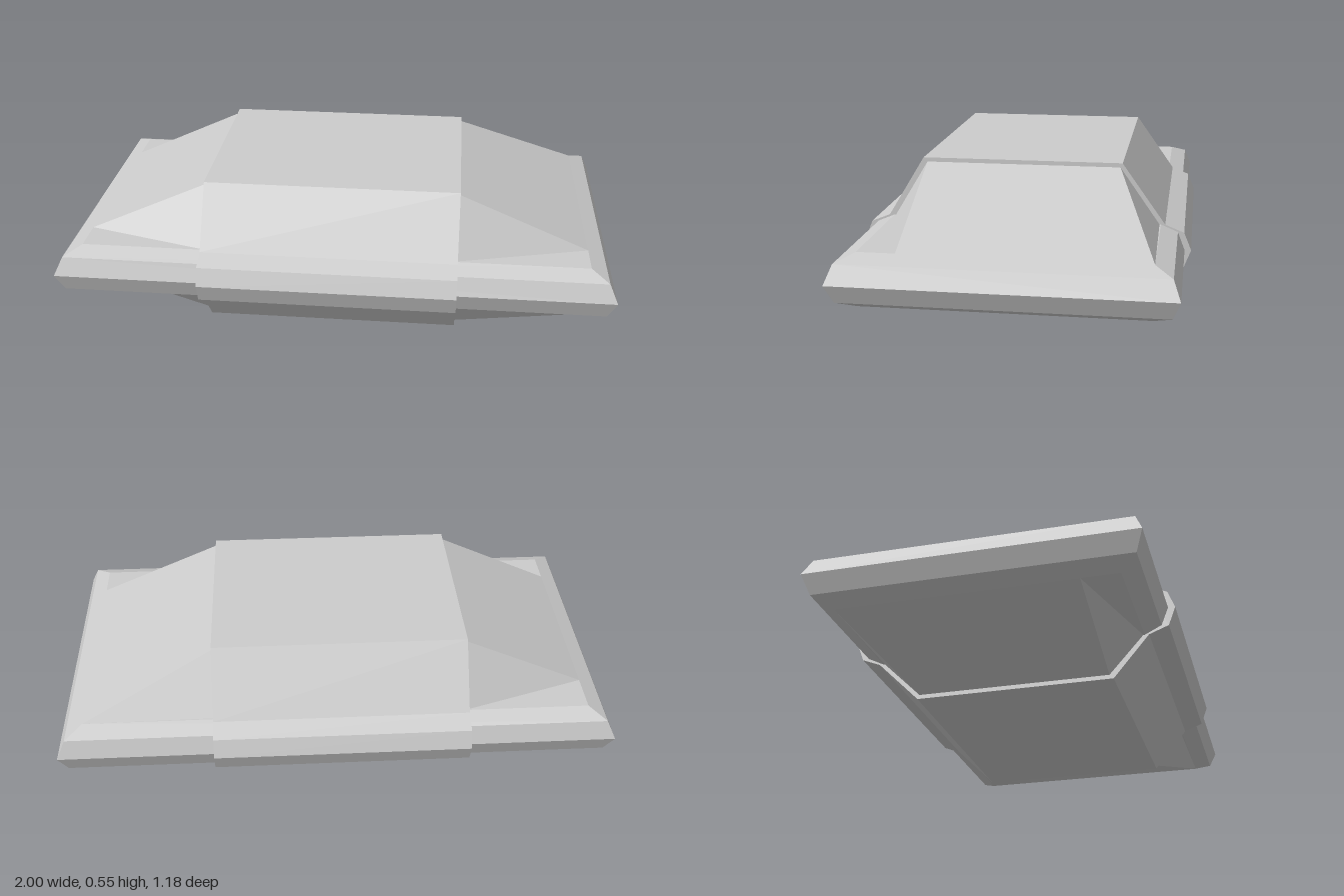
import * as THREE from 'three';
import { ConvexGeometry } from 'three/addons/geometries/ConvexGeometry.js';

const material = new THREE.MeshStandardMaterial({ color: 0xcccccc, flatShading: true });
const BAND_LEFT = 0.445, BAND_RIGHT = -0.475;

function part(name, geometry) {
  const mesh = new THREE.Mesh(geometry, material);
  mesh.name = name;
  return mesh;
}

// Bevelled plate: stacked rectangles [y, half width, half depth]
function plateGeometry() {
  const levels = [
    [0.155, 0.91, 0.48], [0.185, 0.97, 0.54], [0.25, 1, 0.565],
    [0.315, 0.97, 0.54], [0.34, 0.91, 0.48],
  ];
  const points = [];
  for (const [y, x, z] of levels)
    for (const sx of [-1, 1])
      for (const sz of [-1, 1]) points.push(new THREE.Vector3(sx * x, y, sz * z));
  return new ConvexGeometry(points);
}

// Wide middle band: side outline [z, y] run along x
function bandGeometry() {
  const outline = [
    [0.59, 0.25], [0.565, 0.313], [0.498, 0.34], [0.367, 0.555],
    [-0.342, 0.555], [-0.495, 0.34], [-0.562, 0.313], [-0.588, 0.25],
    [-0.562, 0.182], [-0.495, 0.155], [-0.342, 0.003], [0.367, 0.003],
    [0.495, 0.155], [0.565, 0.182],
  ];
  const shape = new THREE.Shape(outline.map(([z, y]) => new THREE.Vector2(-z, y)));
  const geometry = new THREE.ExtrudeGeometry(shape, { depth: BAND_LEFT - BAND_RIGHT, bevelEnabled: false });
  return geometry.rotateY(Math.PI / 2).translate(BAND_RIGHT, 0, 0);
}

// Sloping end: ridge beside the band falls to a tip line near the plate's edge
function wedgeGeometry(side, ridgeY, plateY, frontTip, backTip) {
  const bandX = side > 0 ? BAND_LEFT : BAND_RIGHT;
  const tipX = side * 0.91;
  return new ConvexGeometry([
    [bandX, ridgeY, 0.353], [bandX, ridgeY, -0.335],
    [bandX, plateY, 0.475], [bandX, plateY, -0.475],
    [tipX, plateY, frontTip], [tipX, plateY, backTip],
  ].map((p) => new THREE.Vector3(...p)));
}

export function createModel() {
  const group = new THREE.Group();
  group.name = 'facetedBody';
  group.add(part('rimPlate', plateGeometry()), part('middleBand', bandGeometry()));

  // Most tips are cut short; a few flare out to the plate corner
  const cut = 0.35, cutBack = -0.335, flare = 0.48;
  group.add(
    part('upperLeftSlope', wedgeGeometry(1, 0.54, 0.34, cut, -flare)),
    part('upperRightSlope', wedgeGeometry(-1, 0.54, 0.34, cut, cutBack)),
    part('lowerLeftSlope', wedgeGeometry(1, 0.018, 0.155, flare, cutBack)),
    part('lowerRightSlope', wedgeGeometry(-1, 0.018, 0.155, cut, -flare)),
  );
  return group;
}
